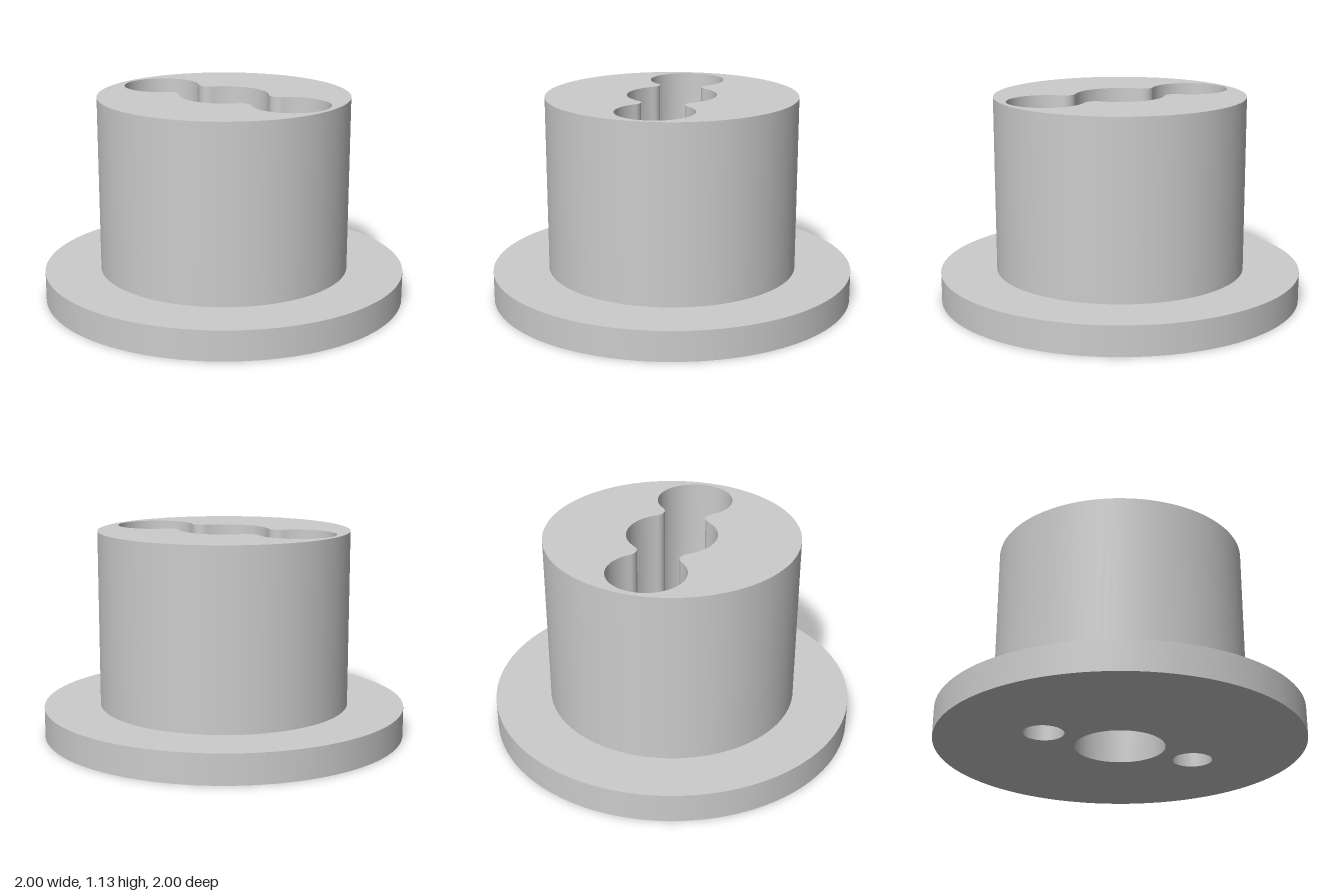
import * as THREE from 'three';

const FLANGE_R = 1, HUB_R = 0.69, FLANGE_Y = 0.163, TOP_Y = 1.13, FLOOR_Y = 0.4;
const BORE_R = 0.245, BOLT_R = 0.11, POCKET_R = 0.21, BOLT_Z = 0.45, FILLET = 0.06;
const SEG = 96;

const material = new THREE.MeshStandardMaterial({ color: 0xcccccc });

// Points along an arc; a1 < a0 runs clockwise
function arc(cx, cy, r, a0, a1, n) {
  return Array.from({ length: n + 1 }, (_, i) => {
    const a = a0 + (a1 - a0) * i / n;
    return new THREE.Vector2(cx + r * Math.cos(a), cy + r * Math.sin(a));
  });
}
const circle = (r, cy = 0, n = SEG) => arc(0, cy, r, 0, Math.PI * 2, n).slice(0, n);
const turn = (pts) => pts.map((p) => new THREE.Vector2(-p.x, -p.y));

// Flat face at height y, looking up or down
function face(outline, holes, y, down = false) {
  const shape = new THREE.Shape(outline);
  shape.holes = holes.map((h) => new THREE.Path(h));
  return new THREE.ShapeGeometry(shape)
    .rotateX(down ? Math.PI / 2 : -Math.PI / 2).translate(0, y, 0);
}

// Smooth wall of an opening, facing inward from a counter-clockwise outline
function innerWall(pts, y0, y1) {
  const pos = [], index = [], n = pts.length;
  pts.forEach((p, i) => {
    pos.push(p.x, y0, -p.y, p.x, y1, -p.y);
    const a = 2 * i, b = 2 * ((i + 1) % n);
    index.push(b, a, a + 1, b, a + 1, b + 1);
  });
  const g = new THREE.BufferGeometry();
  g.setAttribute('position', new THREE.Float32BufferAttribute(pos, 3));
  g.setIndex(index);
  g.computeVertexNormals();
  return g;
}

function outerWall(r, y0, y1) {
  return new THREE.CylinderGeometry(r, r, y1 - y0, SEG, 1, true).translate(0, (y0 + y1) / 2, 0);
}

// One end of the pocket: a round lobe joined to the bore by tangent fillets
function lobeOutline() {
  const d1 = BORE_R + FILLET, d2 = POCKET_R + FILLET;
  const fy = (BOLT_Z ** 2 + d1 ** 2 - d2 ** 2) / (2 * BOLT_Z);
  const fx = Math.sqrt(d1 ** 2 - fy ** 2);
  const start = Math.atan2(fy, fx);
  const meet = Math.atan2(BOLT_Z - fy, fx);
  const right = arc(fx, fy, FILLET, start + Math.PI, Math.PI - meet, 12);
  const left = right.map((p) => new THREE.Vector2(-p.x, p.y)).reverse();
  const round = arc(0, BOLT_Z, POCKET_R, -meet, Math.PI + meet, 56).slice(1, -1);
  return { points: [...right, ...round, ...left], start };
}

export function createModel() {
  const model = new THREE.Group();
  model.name = 'flangedBushing';
  const add = (parent, name, geometry) => {
    const mesh = new THREE.Mesh(geometry, material);
    mesh.name = name;
    parent.add(mesh);
  };
  const group = (name) => {
    const g = new THREE.Group();
    g.name = name;
    model.add(g);
    return g;
  };

  const { points: lobe, start } = lobeOutline();
  const side = arc(0, 0, BORE_R, Math.PI - start, Math.PI + start, 28).slice(1, -1);
  const pocket = [...lobe, ...side, ...turn(lobe), ...turn(side)];
  const bore = circle(BORE_R);
  const bolts = [circle(BOLT_R, BOLT_Z, 48), circle(BOLT_R, -BOLT_Z, 48)];

  // Flange
  const flange = group('flange');
  add(flange, 'flangeRim', outerWall(FLANGE_R, 0, FLANGE_Y));
  add(flange, 'flangeTop', face(circle(FLANGE_R), [circle(HUB_R)], FLANGE_Y));
  add(flange, 'flangeUnderside', face(circle(FLANGE_R), [bore, ...bolts], 0, true));

  // Hub
  const hub = group('hub');
  add(hub, 'hubWall', outerWall(HUB_R, FLANGE_Y, TOP_Y));
  add(hub, 'hubTop', face(circle(HUB_R), [pocket], TOP_Y));

  // Three-lobed pocket, with a floor around each bolt hole
  const recess = group('pocket');
  add(recess, 'pocketWall', innerWall(pocket, FLOOR_Y, TOP_Y));
  const edge = arc(0, 0, BORE_R, Math.PI - start, start, 24).slice(1, -1);
  const floor = [...lobe, ...edge];
  add(recess, 'pocketFloorBack', face(floor, [bolts[0]], FLOOR_Y));
  add(recess, 'pocketFloorFront', face(turn(floor), [bolts[1]], FLOOR_Y));

  // Through holes
  const holes = group('throughHoles');
  add(holes, 'centreBore', innerWall(bore, 0, FLOOR_Y));
  bolts.forEach((b, i) => add(holes, i ? 'boltHoleFront' : 'boltHoleBack', innerWall(b, 0, FLOOR_Y)));

  return model;
}
